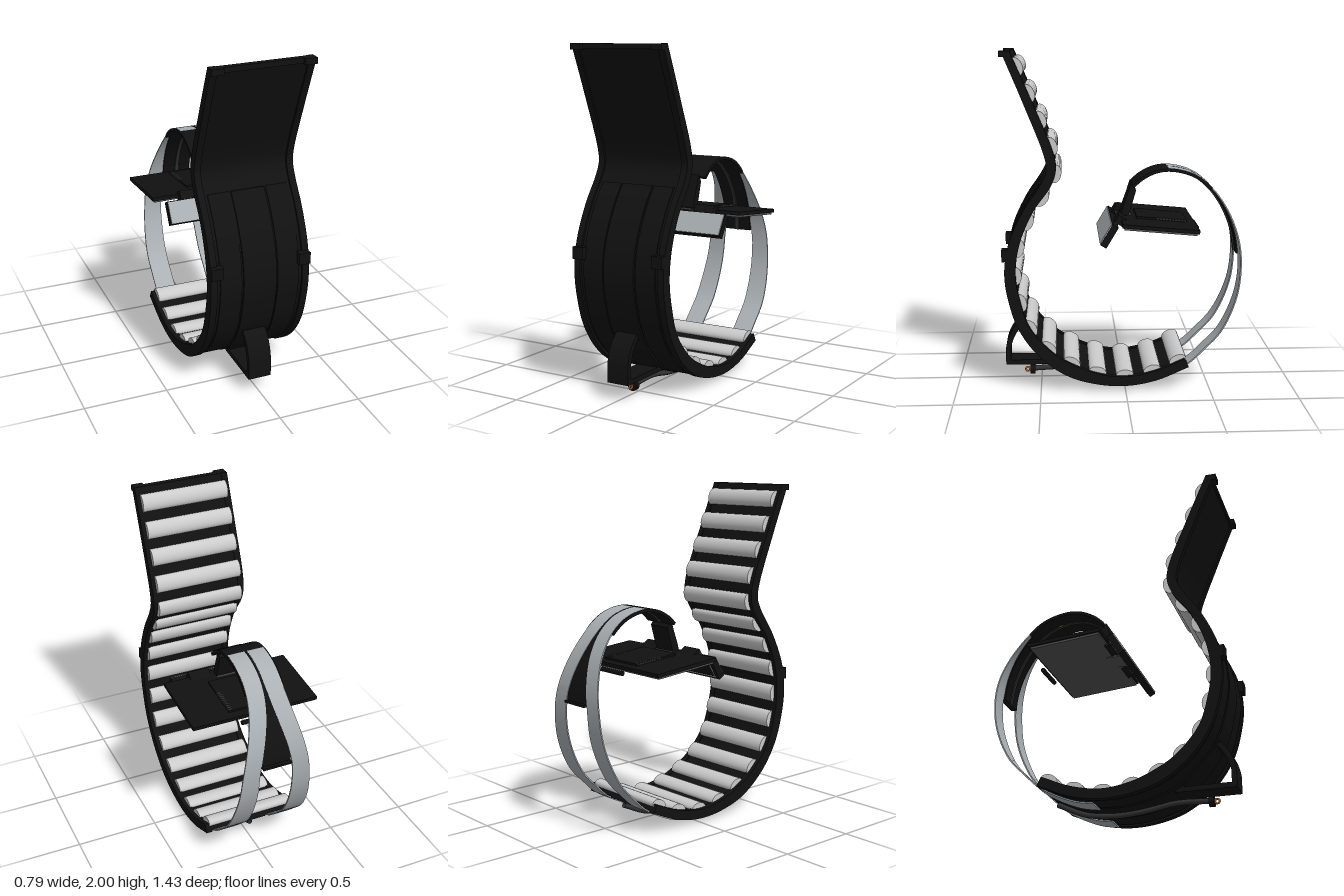
import * as THREE from 'three';
import { toCreasedNormals } from 'three/addons/utils/BufferGeometryUtils.js';

const paint = (color) => new THREE.MeshStandardMaterial({ color, side: THREE.DoubleSide });
const black = paint(0x111111), dark = paint(0x333333), under = paint(0x555555);
const grey = paint(0xcccccc), metal = paint(0xaab0b4), copper = paint(0xa8692f), yellow = paint(0xd8e020);

// profile curves are written as [z, y] pairs
const curve = (pts) => new THREE.CatmullRomCurve3(pts.map(([z, y]) => new THREE.Vector3(z, y, 0)));

export function createModel() {
  const model = new THREE.Group();

  function add(name, geo, mat, x = 0, y = 0, z = 0, rx = 0, parent = model) {
    const m = new THREE.Mesh(geo, mat);
    m.name = name;
    m.position.set(x, y, z);
    m.rotation.x = rx;
    parent.add(m);
    return m;
  }
  const box = (name, w, h, d, mat, x, y, z, rx, parent) =>
    add(name, new THREE.BoxGeometry(w, h, d), mat, x, y, z, rx, parent);

  // extrudes a (z, y) outline sideways, centred on x = 0
  function sideExtrude(shape, width) {
    const g = new THREE.ExtrudeGeometry(shape, { depth: width, bevelEnabled: false, curveSegments: 12 });
    g.translate(0, 0, -width / 2).rotateY(-Math.PI / 2);
    return toCreasedNormals(g, 0.6);
  }

  // band of even thickness along part of a curve, moved outwards by lift
  function ribbon(c, t0, t1, thick, width, lift = 0) {
    const a = [], b = [], n = 60;
    for (let i = 0; i <= n; i++) {
      const t = t0 + (t1 - t0) * i / n, p = c.getPoint(t), d = c.getTangent(t);
      const off = (k) => new THREE.Vector2(p.x + d.y * k, p.y - d.x * k);
      a.push(off(-lift - thick / 2));
      b.push(off(-lift + thick / 2));
    }
    return sideExtrude(new THREE.Shape([...a, ...b.reverse()]), width);
  }

  // ---- Curved seat and backrest
  const outer = curve([[.7, 1.99], [.58, 1.7], [.466, 1.4], [.456, 1.32], [.49, 1.24], [.59, 1.09], [.68, .89],
    [.705, .71], [.68, .54], [.625, .38], [.51, .22], [.35, .1], [.18, .045], [0, .03], [-.18, .06], [-.376, .14]]);
  const inner = curve([[.655, 2], [.53, 1.71], [.41, 1.41], [.4, 1.32], [.43, 1.23], [.535, 1.08], [.615, .89],
    [.64, .71], [.615, .55], [.56, .39], [.43, .24], [.32, .17], [.17, .11], [0, .087], [-.18, .12], [-.35, .19]]);

  // layer between the two curves: a0 = outer share, a1 = inner share
  function layer(a0, a1, t0, t1, width) {
    const a = [], b = [];
    for (let i = 0; i <= 90; i++) {
      const t = t0 + (t1 - t0) * i / 90, p = outer.getPoint(t), q = inner.getPoint(t);
      for (const [list, k] of [[a, a0], [b, a1]])
        list.push(new THREE.Vector2(p.x + (q.x - p.x) * k, p.y + (q.y - p.y) * k));
    }
    return sideExtrude(new THREE.Shape([...a, ...b.reverse()]), width);
  }
  add('seatShell', layer(.22, .9, 0, 1, .56), black);
  for (const s of [-1, 1]) {
    add('sideRail', layer(0, 1, 0, 1, .04), black, s * .28);
    add('outerCover', layer(.1, .4, .28, .93, .13), black, s * .175);
    box('topLug', .07, .035, .05, black, s * .265, 1.982, .69);
    box('middleLug', .07, .07, .05, black, s * .265, .825, .695);
  }
  add('centreCover', layer(.04, .4, .28, 1, .2), black);
  box('topBar', .58, .03, .035, black, 0, 1.984, .675);

  // padded rollers across the inner face
  const padGeo = new THREE.CylinderGeometry(1, 1, .55, 24).rotateZ(Math.PI / 2).scale(1, .053, .034);
  for (let i = 0; i < 17; i++) {
    const u = .035 + .95 * i / 16, p = inner.getPointAt(u), d = inner.getTangentAt(u);
    add('pad', padGeo, grey, 0, p.y, p.x, Math.atan2(d.x, d.y));
  }

  // ---- Front foot: open curved frame
  const foot = new THREE.Shape();
  foot.moveTo(.36, .1);
  foot.lineTo(.715, .1);
  foot.lineTo(.715, .2);
  foot.quadraticCurveTo(.7, .33, .6, .39);
  const gap = new THREE.Path();
  gap.moveTo(.41, .13);
  gap.lineTo(.685, .13);
  gap.lineTo(.685, .2);
  gap.quadraticCurveTo(.67, .29, .61, .35);
  foot.holes.push(gap);
  add('foot', sideExtrude(foot, .14), black);

  // ---- Cable under the seat, with its plug
  const cablePath = new THREE.CatmullRomCurve3([[.55, .055], [.35, .06], [.18, .032], [0, .018], [-.18, .04], [-.355, .115]]
    .map(([z, y]) => new THREE.Vector3(0, y, z)));
  add('cable', new THREE.TubeGeometry(cablePath, 50, .016, 10), dark);
  add('plug', new THREE.CylinderGeometry(.03, .03, .03, 16), black, 0, .05, .555, Math.PI / 2);
  add('plugTip', new THREE.TorusGeometry(.013, .006, 8, 16).rotateY(Math.PI / 2), copper, 0, .05, .585);

  // ---- Overhead hoop: two spreading metal bands and a central black strip
  const hoop = curve([[-.05, 1.2], [-.1, 1.245], [-.19, 1.29], [-.286, 1.3], [-.42, 1.265], [-.525, 1.185], [-.62, 1.05],
    [-.678, .89], [-.692, .735], [-.667, .55], [-.577, .347], [-.47, .23], [-.376, .145], [-.18, .05], [-.06, .026]]);
  for (const s of [-1, 1]) {
    const g = ribbon(hoop, .2, 1, .008, .1);
    const pos = g.attributes.position;
    for (let i = 0; i < pos.count; i++) {
      const y = pos.getY(i);
      const low = THREE.MathUtils.smoothstep(y, .3, .85), high = THREE.MathUtils.smoothstep(y, .7, 1.25);
      const centre = .18 - .025 * low - .095 * high;
      const widen = 1.3 - .25 * low;
      pos.setX(i, s * centre + pos.getX(i) * widen);
    }
    g.computeVertexNormals();
    add('hoopBand', toCreasedNormals(g, .6), metal);
  }
  add('hoopStrip', ribbon(hoop, 0, 5 / 14, .018, .24, .006), black);
  add('hoopStripEnd', ribbon(hoop, 5 / 14, 7.7 / 14, .014, .18, .006), black);
  add('hoopRib', ribbon(hoop, .01, 7.7 / 14, .01, .022, .016), dark);
  box('hoopClip', .18, .014, .035, black, 0, .79, -.695);
  box('lamp', .03, .008, .02, yellow, 0, 1.273, -.36, -.35);

  // arm from hoop to tray hinge
  const arm = new THREE.Shape([[-.045, 1.215], [-.075, 1.17], [-.055, 1.1], [-.025, 1.0], [.025, 1.0], [.0, 1.08], [-.025, 1.15]]
    .map(([z, y]) => new THREE.Vector2(z, y)));
  add('arm', sideExtrude(arm, .15), black);

  // ---- Work tray
  const tray = new THREE.Group();
  tray.name = 'tray';
  tray.position.set(0, .985, -.2);
  tray.rotation.x = -.09;
  model.add(tray);
  box('trayTop', .79, .022, .445, black, 0, .006, 0, 0, tray);
  box('trayUnderside', .77, .012, .42, under, 0, -.011, 0, 0, tray);
  box('trayPad', .3, .014, .3, black, 0, .022, -.02, 0, tray);
  for (let i = 0; i < 10; i++)
    for (const s of [-1, 1]) box('key', .025, .01, .01, dark, s * .138, .026, -.16 + i * .018, 0, tray);
  add('trayHook', new THREE.CylinderGeometry(.014, .014, .2, 12).rotateZ(Math.PI / 2), black, 0, -.02, -.24, 0, tray);

  // ---- Tilted display below the tray edge
  const display = new THREE.Group();
  display.name = 'display';
  display.position.set(0, .94, .095);
  display.rotation.x = -.54;
  model.add(display);
  box('displayBody', .66, .14, .04, black, 0, 0, 0, 0, display);
  box('displayFace', .65, .13, .006, metal, 0, 0, .023, 0, display);
  for (const s of [-1, 1]) {
    box('displayTrim', .6, .004, .004, grey, 0, s * .055, -.021, 0, display);
    box('displayTrimEnd', .004, .11, .004, grey, s * .3, 0, -.021, 0, display);
    box('displayHinge', .13, .05, .07, black, s * .17, 1.01, .02, -.54);
    box('hingePlate', .07, .07, .02, dark, s * .2, .995, .055, -.54);
  }
  add('hingePin', new THREE.CylinderGeometry(.018, .018, .44, 16).rotateZ(Math.PI / 2), black, 0, 1.005, .03);
  box('hingeBlock', .15, .04, .09, under, 0, 1.0, .0);

  return model;
}
